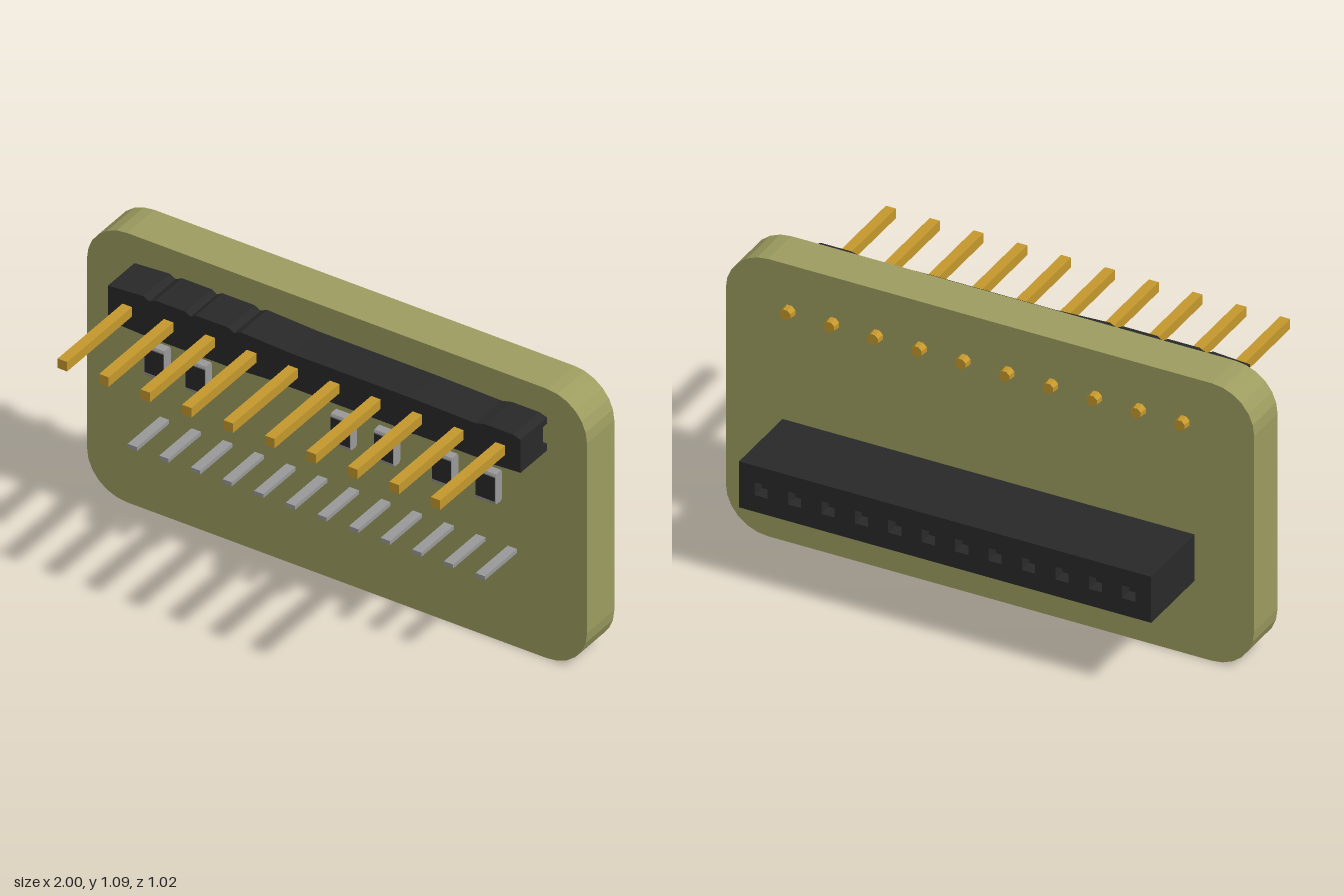
import * as THREE from 'three';

const mat = (color) => new THREE.MeshStandardMaterial({ color, flatShading: true });
const olive = mat(0x9c9c60), black = mat(0x292929), gold = mat(0xc4982c), grey = mat(0x999999);

const shapeOf = (points) => new THREE.Shape(points.map(([x, y]) => new THREE.Vector2(x, y)));

// Extrudes a front outline between two depths
function slab(name, shape, z0, z1, material, curveSegments = 3) {
  const geo = new THREE.ExtrudeGeometry(shape, { depth: z1 - z0, bevelEnabled: false, curveSegments });
  const mesh = new THREE.Mesh(geo, material);
  mesh.position.z = z0;
  mesh.name = name;
  return mesh;
}

// Box given by its centre in x and y, and its extent in z
function block(name, x, y, w, h, z0, z1, material) {
  const mesh = new THREE.Mesh(new THREE.BoxGeometry(w, h, z1 - z0), material);
  mesh.position.set(x, y, (z0 + z1) / 2);
  mesh.name = name;
  return mesh;
}

function createBoard() {
  const r = 0.16, h = 1.085, s = new THREE.Shape();
  s.absarc(1 - r, r, r, -Math.PI / 2, 0);
  s.absarc(1 - r, h - r, r, 0, Math.PI / 2);
  s.absarc(r - 1, h - r, r, Math.PI / 2, Math.PI);
  s.absarc(r - 1, r, r, Math.PI, Math.PI * 1.5);
  return slab('board', s, -0.205, -0.04, olive);
}

function createHeader() {
  const group = new THREE.Group();
  group.name = 'pinHeader';
  // Slightly notched upper and lower edges of the plastic strip
  const top = [[0.84, 0.97], [0.81, 0.98], [0.7, 0.98], [0.66, 0.97], [0.4, 0.975], [-0.07, 0.975],
    [-0.28, 0.985], [-0.305, 0.972], [-0.33, 0.985], [-0.46, 0.985], [-0.48, 0.972], [-0.5, 0.985],
    [-0.62, 0.985], [-0.645, 0.972], [-0.67, 0.985], [-0.81, 0.975]];
  const bottom = [[-0.81, 0.835], [-0.67, 0.828], [-0.645, 0.838], [-0.62, 0.828], [-0.5, 0.828],
    [-0.48, 0.838], [-0.46, 0.828], [-0.32, 0.828], [-0.15, 0.838], [0.33, 0.838], [0.37, 0.825],
    [0.42, 0.835], [0.68, 0.835], [0.72, 0.83], [0.84, 0.837]];
  group.add(slab('headerBody', shapeOf([...top, ...bottom]), -0.015, 0.12, black));
  // Two rails leave a channel against the board
  group.add(slab('headerTopRail', shapeOf([...top, [-0.81, 0.945], [0.84, 0.945]]), -0.04, -0.015, black));
  group.add(slab('headerBottomRail', shapeOf([...bottom, [0.84, 0.865], [-0.81, 0.865]]), -0.04, -0.015, black));

  for (let i = 0; i < 10; i++) {
    const x = -0.733 + i * 0.1658;
    group.add(block('headerPin', x, 0.905, 0.038, 0.038, -0.205, 0.512, gold));
    // Rounded stub of the pin behind the board
    const stub = new THREE.Mesh(new THREE.CylinderGeometry(0.025, 0.021, 0.035, 8), gold);
    stub.rotation.set(Math.PI / 2, Math.PI / 8, 0);
    stub.position.set(x, 0.905, -0.2175);
    stub.name = 'pinStub';
    group.add(stub);
  }
  return group;
}

function createChip(x) {
  const group = new THREE.Group();
  group.name = 'chip';
  // Grey terminals with softly cut corners, seen from the side
  const side = shapeOf([[-0.04, 0.58], [-0.034, 0.57], [-0.004, 0.572], [0, 0.58],
    [0, 0.685], [-0.004, 0.693], [-0.034, 0.695], [-0.04, 0.685]]);
  const geo = new THREE.ExtrudeGeometry(side, { depth: 0.08, bevelEnabled: false });
  geo.translate(0, 0, -0.04).rotateY(-Math.PI / 2);
  // The turn sends profile depth to z
  const body = new THREE.Mesh(geo, grey);
  body.position.x = x;
  body.name = 'chipTerminals';
  group.add(body, block('chipFace', x, 0.633, 0.076, 0.095, -0.01, 0.002, black));
  return group;
}

function createSocket() {
  const group = new THREE.Group();
  group.name = 'socket';
  const x0 = -0.775, x1 = 0.785, y0 = 0.295, y1 = 0.475;
  const face = shapeOf([[x0, y0], [x1, y0], [x1, y1], [x0, y1]]);
  const pinX = (i) => -0.69 + i * 0.1265;
  for (let i = 0; i < 12; i++) {
    const hole = new THREE.Path(), x = pinX(i), s = 0.025;
    hole.moveTo(x - s, 0.385 - s).lineTo(x - s, 0.385 + s);
    hole.lineTo(x + s, 0.385 + s).lineTo(x + s, 0.385 - s).closePath();
    face.holes.push(hole);
    group.add(block('socketPin', x, 0.387, 0.037, 0.016, -0.205, 0.155, grey));
  }
  // Solid block with a pierced face, giving shallow pockets
  group.add(block('socketBody', (x0 + x1) / 2, (y0 + y1) / 2, x1 - x0, y1 - y0, -0.46, -0.205, black));
  group.add(slab('socketFace', face, -0.512, -0.46, black));
  return group;
}

export function createModel() {
  const model = new THREE.Group();
  model.name = 'circuitBoard';
  model.add(createBoard(), createHeader(), createSocket());
  for (const x of [-0.705, -0.54, 0.04, 0.213, 0.445, 0.62]) model.add(createChip(x));
  return model;
}
